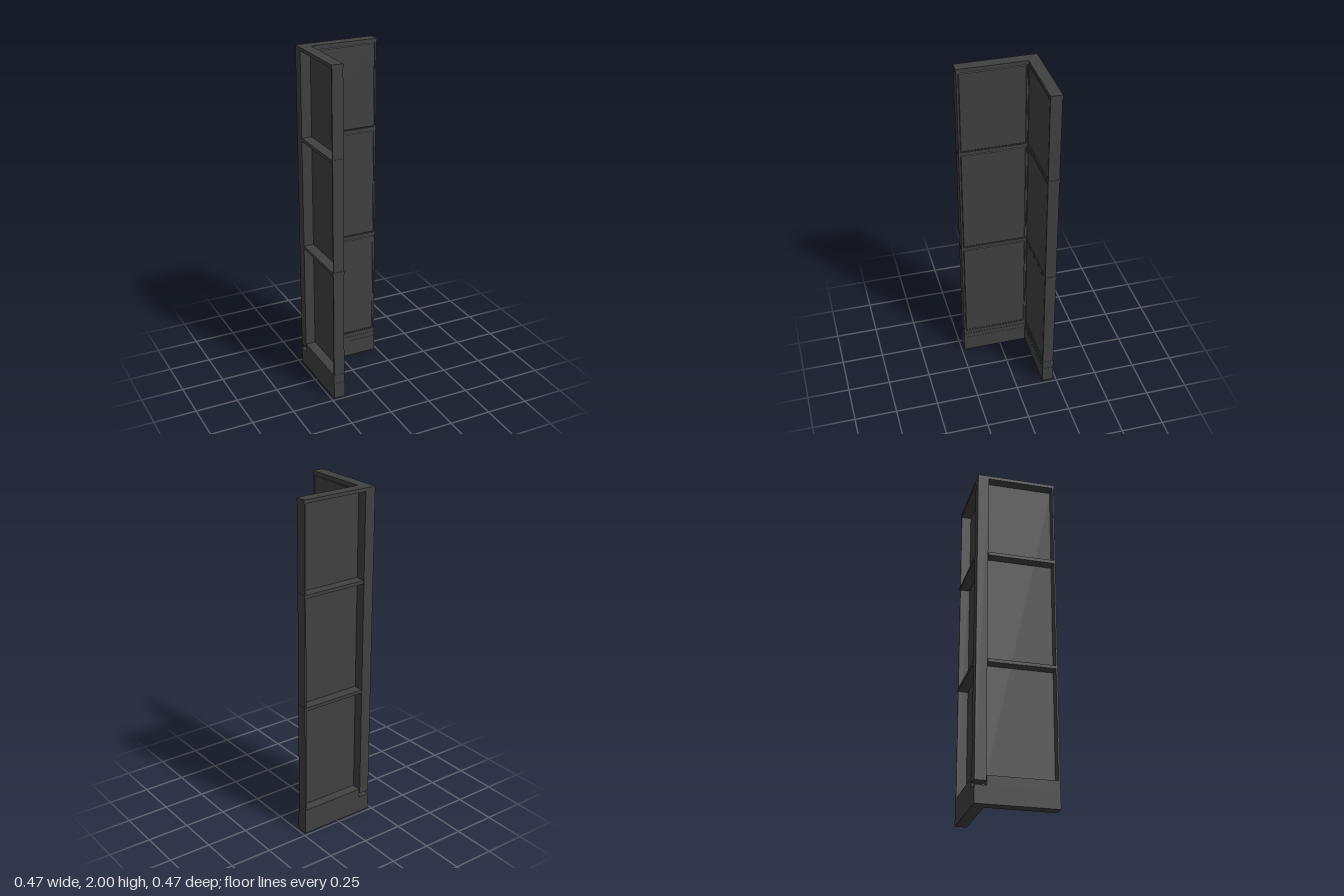
import * as THREE from 'three';

const OUT = -0.233, IN = -0.165, END = 0.233;
const mat = new THREE.MeshStandardMaterial({ color: 0x404040, flatShading: true });

// Box from its two corners; s = -1 mirrors it in x
function block(parent, name, x0, x1, y0, y1, z0, z1, s = 1) {
  const mesh = new THREE.Mesh(new THREE.BoxGeometry(x1 - x0, y1 - y0, z1 - z0), mat);
  mesh.position.set(s * (x0 + x1) / 2, (y0 + y1) / 2, (z0 + z1) / 2);
  mesh.name = name;
  parent.add(mesh);
  return mesh;
}

// Thin panel whose front face is inset to give a bevelled border
function panel(parent, x0, x1, y0, y1, z0, z1, s) {
  const mesh = block(parent, 'panel', x0, x1, y0, y1, z0, z1, s);
  const p = mesh.geometry.attributes.position;
  for (let i = 0; i < p.count; i++) {
    if (p.getZ(i) < 0) continue;
    p.setX(i, p.getX(i) - Math.sign(p.getX(i)) * 0.005);
    p.setY(i, p.getY(i) - Math.sign(p.getY(i)) * 0.005);
  }
  mesh.geometry.computeVertexNormals();
}

// One wing of the corner, lying along x with its open framing at the back
function wing(name, s) {
  const g = new THREE.Group();
  g.name = name;
  block(g, 'backingSheet', IN, END - 0.005, 0.13, 1.98, IN - 0.009, IN - 0.006, s);
  block(g, 'endBoard', END - 0.011, END - 0.002, 0.1, 1.98, OUT + 0.002, IN - 0.002, s);
  block(g, 'innerStile', IN - 0.004, IN + 0.005, 0.1, 1.98, IN - 0.008, IN - 0.002, s);
  block(g, 'topRail', IN, END, 1.98, 2, OUT, IN - 0.002, s);
  block(g, 'bottomRail', IN, END - 0.001, 0.1, 0.13, OUT, IN - 0.001, s);
  block(g, 'bottomRailUpper', IN, END - 0.001, 0.13, 0.155, OUT, IN - 0.003, s);
  // Middle rails show as shelves on the open side
  for (const y of [0.797, 1.463]) block(g, 'middleRail', IN, END, y, y + 0.02, OUT - 0.001, IN - 0.001, s);
  for (const [y0, y1] of [[0.16, 0.795], [0.819, 1.461], [1.485, 1.976]])
    panel(g, IN + 0.006, END - 0.012, y0, y1, IN - 0.007, IN - 0.003, s);
  block(g, 'skirting', IN, END, 0, 0.1, OUT, IN, s);
  return g;
}

export function createModel() {
  const model = new THREE.Group();
  model.name = 'cornerWall';
  const side = wing('sideWing', -1);
  side.rotation.y = Math.PI / 2;
  model.add(wing('backWing', 1), side);

  // Corner pieces; the post stops short of the skirting
  block(model, 'cornerPost', OUT, IN - 0.004, 0.125, 1.98, OUT, IN - 0.004);
  block(model, 'cornerCap', OUT, IN, 1.98, 2, OUT, IN);
  block(model, 'cornerSkirting', OUT, IN, 0, 0.1, OUT, IN);
  return model;
}
